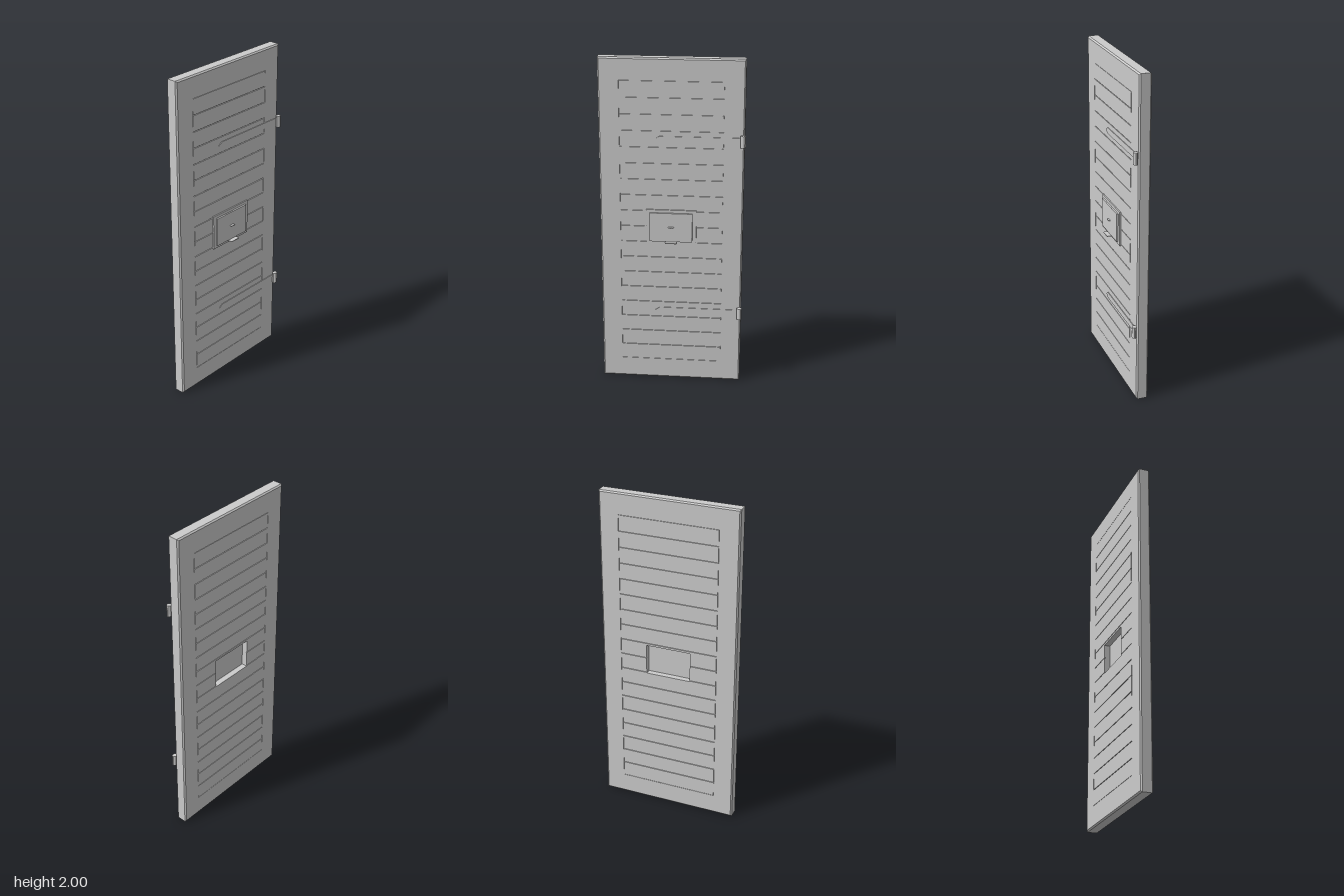
import * as THREE from 'three';

const mat = new THREE.MeshStandardMaterial({ color: 0xcccccc, flatShading: true });
const FRONT = 0.012, BACK = -0.06;
const PANEL = { x0: -0.305, x1: 0.3, y0: 0.125, y1: 1.87 };
const HATCH = { x0: -0.14, x1: 0.135, y0: 0.895, y1: 1.08 };

function add(parent, name, geometry) {
  const mesh = new THREE.Mesh(geometry, mat);
  mesh.name = name;
  parent.add(mesh);
  return mesh;
}

// Box given by its limits on each axis
function block(parent, name, x0, x1, y0, y1, z0, z1) {
  const mesh = add(parent, name, new THREE.BoxGeometry(x1 - x0, y1 - y0, z1 - z0));
  mesh.position.set((x0 + x1) / 2, (y0 + y1) / 2, (z0 + z1) / 2);
  return mesh;
}

// Closed frame swept through rectangular loops [x0, x1, y0, y1, z]
function frameGeometry(loops) {
  const pos = [], index = [];
  for (const [x0, x1, y0, y1, z] of loops) pos.push(x0, y0, z, x1, y0, z, x1, y1, z, x0, y1, z);
  for (let l = 0; l < loops.length; l++) {
    const m = (l + 1) % loops.length;
    for (let i = 0; i < 4; i++) {
      const j = (i + 1) % 4;
      const a = l * 4 + i, b = l * 4 + j, c = m * 4 + j, d = m * 4 + i;
      index.push(a, b, c, a, c, d);
    }
  }
  const g = new THREE.BufferGeometry();
  g.setAttribute('position', new THREE.Float32BufferAttribute(pos, 3));
  g.setIndex(index);
  const flat = g.toNonIndexed();
  flat.computeVertexNormals();
  return flat;
}

function rectPath(PathType, r) {
  const p = new PathType();
  p.moveTo(r.x0, r.y0);
  p.lineTo(r.x1, r.y0);
  p.lineTo(r.x1, r.y1);
  p.lineTo(r.x0, r.y1);
  p.closePath();
  return p;
}

// Bevelled outer frame of the door
function buildFrame(door) {
  const b = 0.008, X0 = -0.425, X1 = 0.418;
  const outer = (inset, z) => [X0 + inset, X1 - inset, inset, 2 - inset, z];
  const inner = z => [PANEL.x0, PANEL.x1, PANEL.y0, PANEL.y1, z];
  add(door, 'doorFrame', frameGeometry([
    outer(b, BACK), outer(0, BACK + b), outer(0, FRONT - b), outer(b, FRONT),
    inner(FRONT), inner(BACK),
  ]));
}

// Solid core with the hatch opening, faced with planks on both sides
function buildPlanks(door) {
  const skin = 0.006, gap = 0.002, rows = 18;
  const shape = rectPath(THREE.Shape, PANEL);
  shape.holes.push(rectPath(THREE.Path, HATCH));
  const core = add(door, 'panelCore', new THREE.ExtrudeGeometry(shape, {
    depth: FRONT - BACK - 2 * skin, bevelEnabled: false,
  }));
  core.position.z = BACK + skin;

  const plank = (x0, x1, y0, y1) => {
    if (y1 - y0 < 0.001) return;
    block(door, 'frontPlank', x0, x1, y0, y1, FRONT - skin, FRONT);
    block(door, 'backPlank', x0, x1, y0, y1, BACK, BACK + skin);
  };
  const pitch = (PANEL.y1 - PANEL.y0) / rows;
  const x0 = PANEL.x0 + gap, x1 = PANEL.x1 - gap;
  for (let i = 0; i < rows; i++) {
    const y0 = PANEL.y0 + i * pitch + gap, y1 = PANEL.y0 + (i + 1) * pitch - gap;
    const lo = Math.max(y0, HATCH.y0), hi = Math.min(y1, HATCH.y1);
    if (lo >= hi) {
      plank(x0, x1, y0, y1);
      continue;
    }
    // Cut the plank around the opening
    plank(x0, x1, y0, lo);
    plank(x0, x1, hi, y1);
    plank(x0, HATCH.x0, lo, hi);
    plank(HATCH.x1, x1, lo, hi);
  }
}

// Viewing hatch with surround, sliding cover, knob and small ledge
function buildHatch(door) {
  const hatch = new THREE.Group();
  hatch.name = 'hatch';
  door.add(hatch);
  block(hatch, 'hatchFill', HATCH.x0, HATCH.x1, HATCH.y0, HATCH.y1, -0.025, FRONT);
  block(hatch, 'hatchSurround', -0.152, 0.145, 0.89, 1.103, FRONT - 0.002, 0.02);
  block(hatch, 'hatchCover', -0.13, 0.122, 0.908, 1.085, 0.02, 0.03);
  block(hatch, 'hatchLedge', -0.037, 0.03, 0.904, 0.908, 0.02, 0.056);
  const knob = add(hatch, 'hatchKnob', new THREE.CylinderGeometry(0.012, 0.02, 0.012, 8));
  knob.rotation.x = Math.PI / 2;
  knob.scale.z = 0.25;
  knob.position.set(-0.004, 0.998, 0.035);
}

// Pointed strap hinge with its knuckle
function buildHinge(door, y) {
  const hinge = new THREE.Group();
  hinge.name = 'hinge';
  hinge.position.y = y;
  door.add(hinge);
  const h = 0.018;
  const strap = new THREE.Shape([
    [-0.1, 0], [-0.073, -h], [0.4, -h], [0.4, h], [-0.073, h],
  ].map(p => new THREE.Vector2(...p)));
  const mesh = add(hinge, 'hingeStrap', new THREE.ExtrudeGeometry(strap, { depth: 0.005, bevelEnabled: false }));
  mesh.position.z = FRONT - 0.001;
  const knuckle = add(hinge, 'hingeKnuckle', new THREE.CylinderGeometry(0.016, 0.016, 0.07, 10));
  knuckle.scale.z = 0.85;
  knuckle.position.set(0.409, 0, 0.027);
}

export function createModel() {
  const door = new THREE.Group();
  door.name = 'door';
  buildFrame(door);
  buildPlanks(door);
  buildHatch(door);
  for (const y of [0.458, 1.53]) buildHinge(door, y);
  return door;
}
